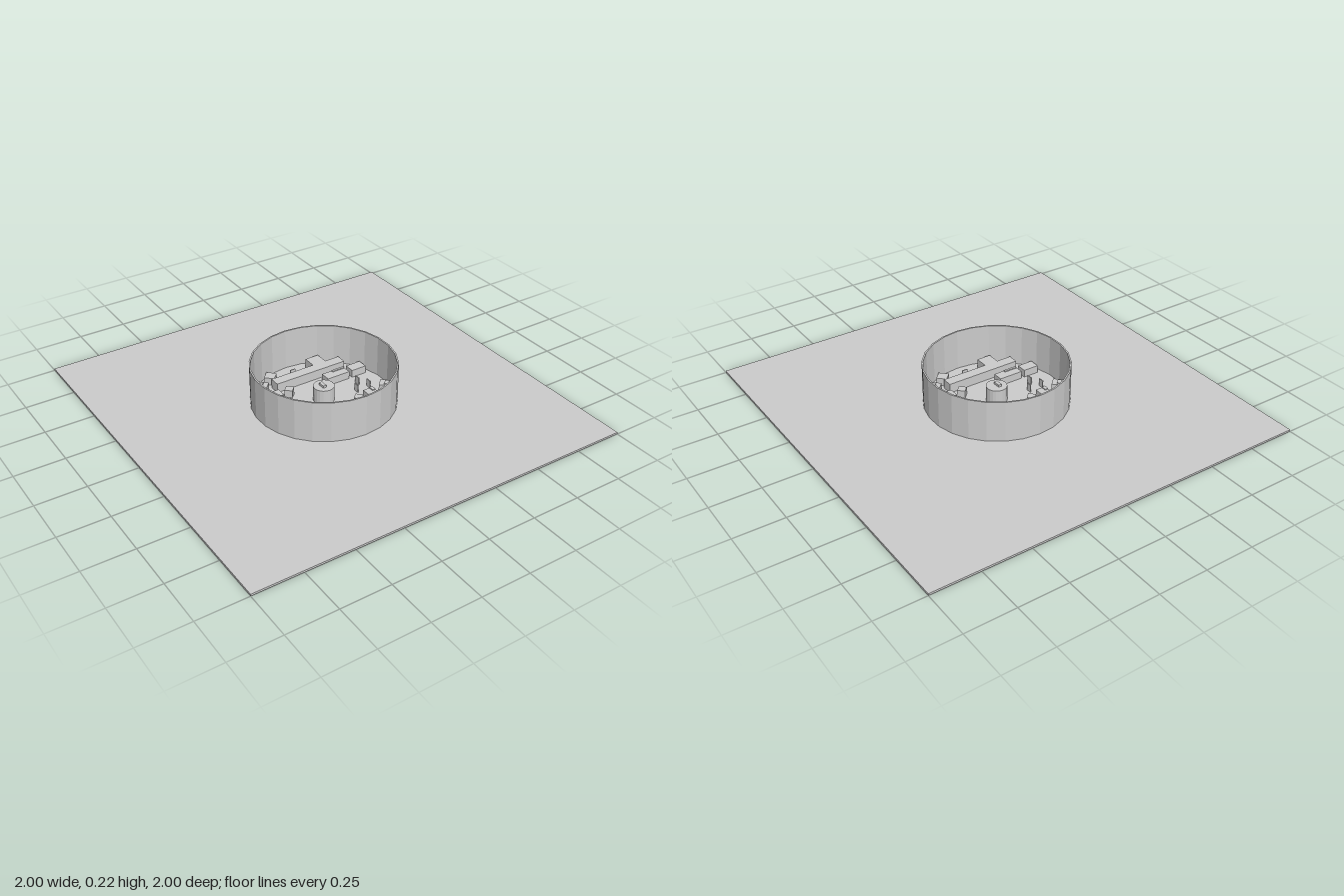
import * as THREE from 'three';

export function createModel() {
  const model = new THREE.Group();
  const material = new THREE.MeshStandardMaterial({ color: 0xcccccc, flatShading: true });
  const FLOOR = 0.01;

  const add = (name, geometry, x = 0, y = 0, z = 0, turn = 0) => {
    const mesh = new THREE.Mesh(geometry, material);
    mesh.name = name;
    mesh.position.set(x, y, z);
    mesh.rotation.y = turn;
    model.add(mesh);
  };

  // Box standing on the floor, repeated half a turn around the centre
  const pair = (name, x, z, w, d, h, turn = 0, base = FLOOR) => {
    for (const s of [1, -1]) {
      add(name, new THREE.BoxGeometry(w, h, d), s * x, base + h / 2, s * z, turn);
    }
  };

  // Ground slab
  add('ground', new THREE.BoxGeometry(2, FLOOR, 2), 0, FLOOR / 2, 0);

  // Faceted ring wall, open at the top
  const wall = [[0.355, FLOOR], [0.363, FLOOR], [0.363, 0.225], [0.355, 0.225], [0.355, FLOOR]];
  add('ringWall', new THREE.LatheGeometry(wall.map(([r, y]) => new THREE.Vector2(r, y)), 26));

  // Central pillar with a small block on top
  add('pillar', new THREE.CylinderGeometry(0.053, 0.053, 0.08, 20), 0, FLOOR + 0.04, 0);
  add('pillarBlock', new THREE.BoxGeometry(0.018, 0.012, 0.04), -0.007, 0.096, 0);

  // Long barriers with a side block
  pair('longBarrier', 0.04, -0.203, 0.4, 0.055, 0.05);
  pair('barrierBlock', 0.123, -0.265, 0.075, 0.07, 0.05);

  // Low crates
  pair('crate', 0.273, -0.118, 0.083, 0.055, 0.04);
  pair('wideCrate', 0.15, -0.118, 0.128, 0.055, 0.04);
  pair('crateLid', 0.176, -0.138, 0.07, 0.012, 0.005, 0, 0.05);
  pair('smallCrate', -0.2, -0.118, 0.055, 0.055, 0.04);
  pair('crateStep', -0.218, -0.105, 0.018, 0.028, 0.005, 0, 0.05);

  // Blocks turned to the diagonal
  const diagonal = Math.PI / 4;
  pair('towerBlock', -0.257, -0.155, 0.053, 0.053, 0.09, diagonal);
  pair('towerStep', -0.262, -0.162, 0.032, 0.02, 0.006, diagonal, 0.1);
  pair('diagonalBlock', -0.139, -0.278, 0.053, 0.053, 0.04, diagonal);
  pair('smallDiagonalBlock', -0.123, -0.123, 0.04, 0.04, 0.04, diagonal);

  // Thin upright plates
  for (const x of [-0.25, -0.176, 0.22]) pair('plate', x, -0.028, 0.005, 0.03, 0.04);
  pair('crossPlate', -0.015, -0.265, 0.03, 0.005, 0.04);

  return model;
}
